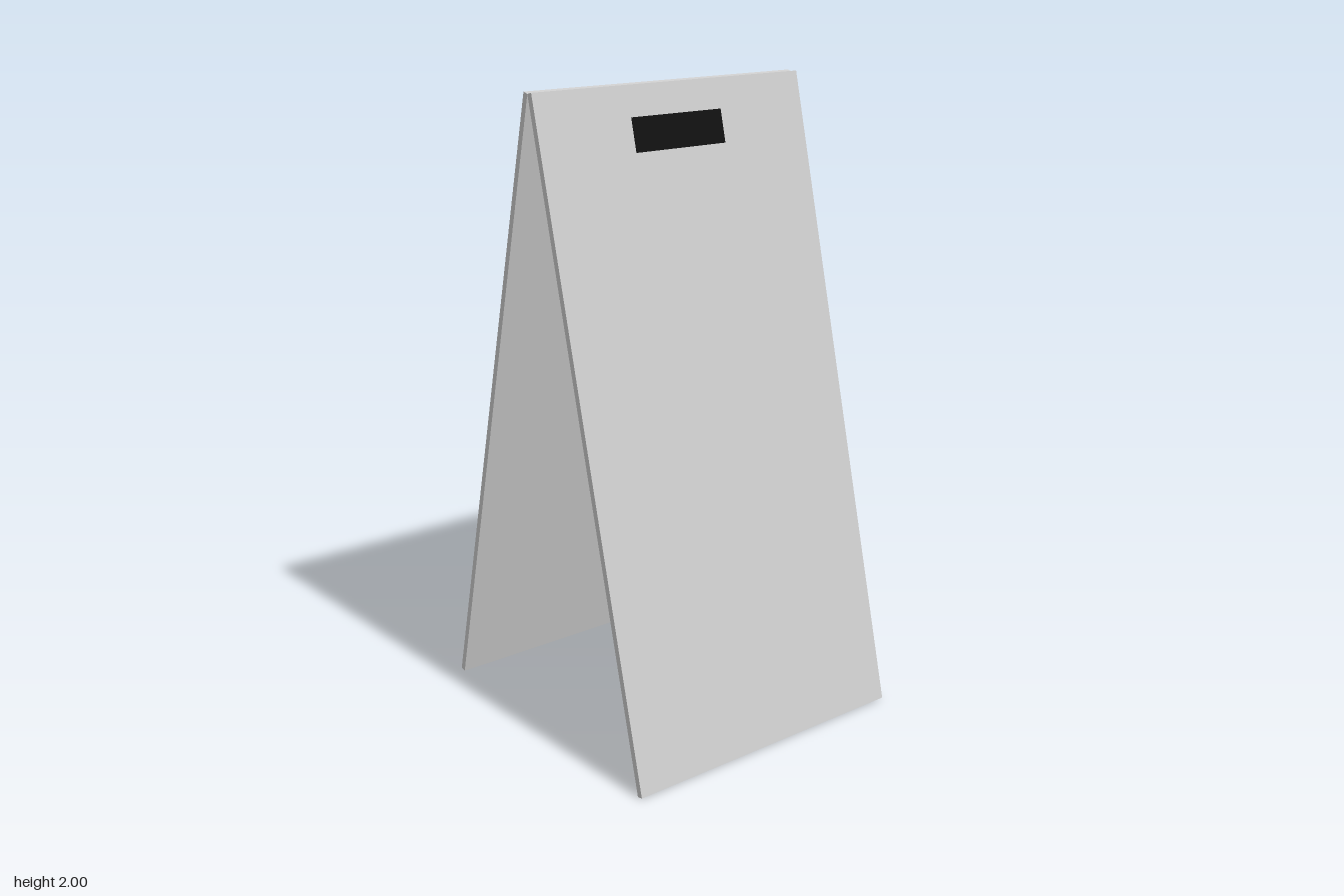
import * as THREE from 'three';

const WIDTH = 0.99, THICK = 0.02, LENGTH = 2.056;
const TILT = Math.atan(0.249);

export function createModel() {
  const board = new THREE.MeshStandardMaterial({ color: 0xcccccc });
  board.name = 'lightGrey';
  const grip = new THREE.MeshStandardMaterial({ color: 0x111111 });
  grip.name = 'black';

  // One leaning board with its grip slot, pivoted at the inner top edge
  function makeLeaf(name) {
    const leaf = new THREE.Group();
    leaf.name = name;

    const panel = new THREE.Mesh(new THREE.BoxGeometry(WIDTH, LENGTH, THICK), board);
    panel.name = 'panel';
    panel.position.set(0, -LENGTH / 2, THICK / 2);

    // Dark hand slot, showing on both faces of the board
    const slot = new THREE.Mesh(new THREE.BoxGeometry(0.335, 0.103, THICK + 0.004), grip);
    slot.name = 'handSlot';
    slot.position.set(0, -0.146, THICK / 2);

    leaf.add(panel, slot);
    leaf.rotation.x = -TILT;
    leaf.position.y = 2 - THICK * Math.sin(TILT);
    return leaf;
  }

  const model = new THREE.Group();
  model.name = 'foldingSignBoard';
  model.add(makeLeaf('frontLeaf'));

  // Back leaf is the front one turned about the vertical axis
  const back = new THREE.Group();
  back.name = 'backHalf';
  back.rotation.y = Math.PI;
  back.add(makeLeaf('backLeaf'));
  model.add(back);
  return model;
}
